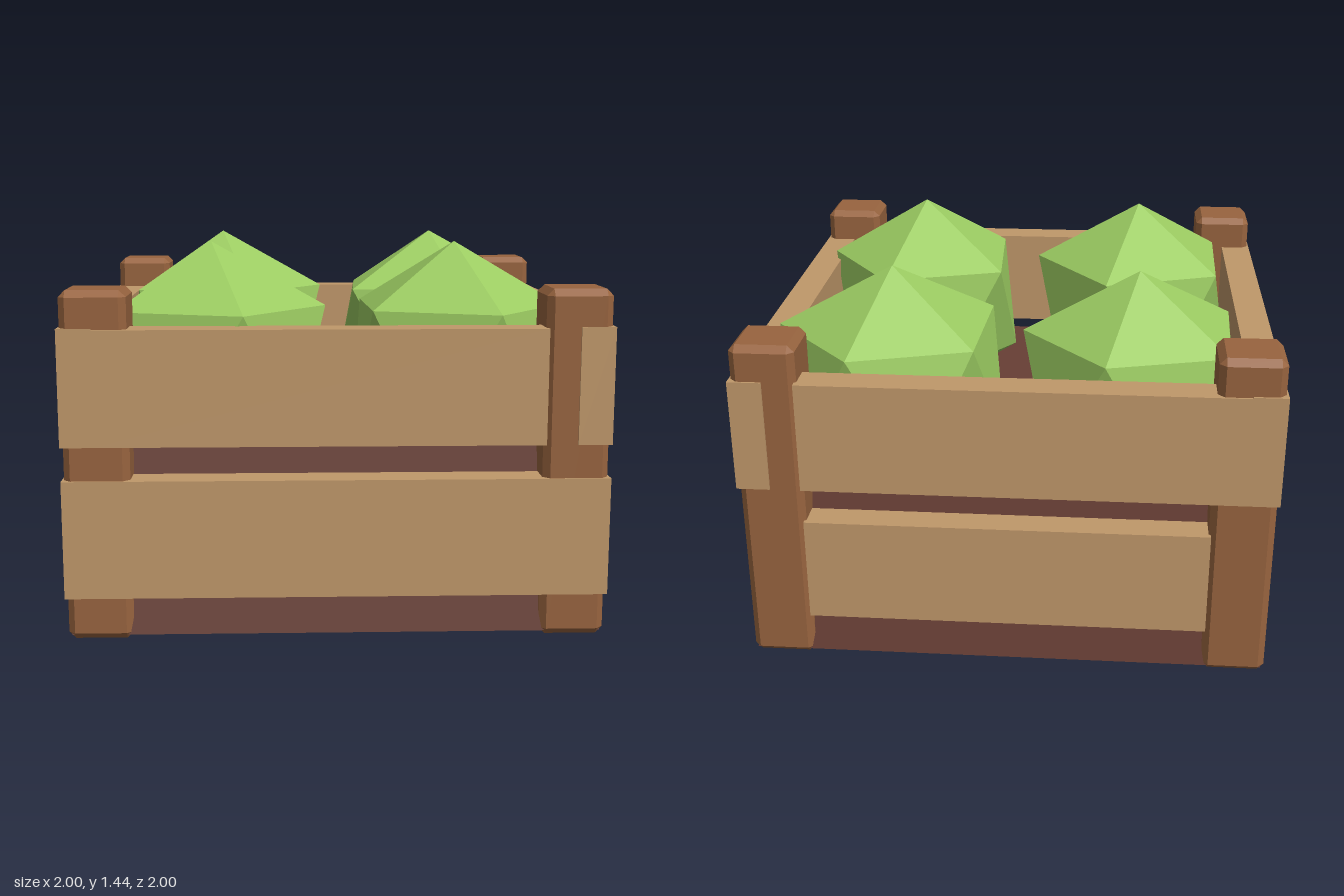
import * as THREE from 'three';
import { ConvexGeometry } from 'three/addons/geometries/ConvexGeometry.js';

const mat = (name, color) => {
  const m = new THREE.MeshStandardMaterial({ color, flatShading: true });
  m.name = name;
  return m;
};

// Box given by its min and max on each axis
function slab(name, material, [x0, x1], [y0, y1], [z0, z1]) {
  const mesh = new THREE.Mesh(new THREE.BoxGeometry(x1 - x0, y1 - y0, z1 - z0), material);
  mesh.position.set((x0 + x1) / 2, (y0 + y1) / 2, (z0 + z1) / 2);
  mesh.name = name;
  return mesh;
}

// Box with every edge chamfered by b
function chamferBox(w, h, d, b) {
  const pts = [];
  for (const sx of [-1, 1]) for (const sy of [-1, 1]) for (const sz of [-1, 1]) {
    const x = w / 2, y = h / 2, z = d / 2;
    pts.push(
      new THREE.Vector3(sx * x, sy * (y - b), sz * (z - b)),
      new THREE.Vector3(sx * (x - b), sy * y, sz * (z - b)),
      new THREE.Vector3(sx * (x - b), sy * (y - b), sz * z));
  }
  return new ConvexGeometry(pts);
}

// Faceted head: two staggered five-sided rings closed by a top and a bottom point
function headGeometry(upperRadii, lowerRadius) {
  const ring = (radius, y, turn) => Array.from({ length: 5 }, (_, i) => {
    const a = (i + turn) * Math.PI * 0.4;
    return [radius(i) * Math.cos(a), y, radius(i) * Math.sin(a)];
  });
  const top = [0, 1.44, 0], bottom = [0, 0.51, 0];
  const up = ring(i => upperRadii[i], 1.19, 0);
  const low = ring(() => lowerRadius, 0.76, 0.5);
  const pos = [];
  for (let i = 0; i < 5; i++) {
    const j = (i + 1) % 5;
    pos.push(...top, ...up[j], ...up[i], ...up[i], ...up[j], ...low[i],
      ...low[i], ...up[j], ...low[j], ...bottom, ...low[i], ...low[j]);
  }
  const g = new THREE.BufferGeometry();
  g.setAttribute('position', new THREE.Float32BufferAttribute(pos, 3));
  g.computeVertexNormals();
  return g;
}

export function createModel() {
  const plankWood = mat('light plank wood', 0xc0986a);
  const postWood = mat('brown post wood', 0x98643f);
  const soil = mat('dark brown base', 0x683f35);
  const leaf = mat('leaf green', 0x9ccc62);
  const model = new THREE.Group();
  model.name = 'vegetableCrate';

  // Solid base, narrowing towards the top
  const baseGeo = new THREE.BoxGeometry(1.96, 0.68, 1.96);
  const p = baseGeo.attributes.position;
  for (let i = 0; i < p.count; i++) {
    if (p.getY(i) > 0) p.setXYZ(i, Math.sign(p.getX(i)) * 0.845, p.getY(i), Math.sign(p.getZ(i)) * 0.845);
  }
  baseGeo.computeVertexNormals();
  const base = new THREE.Mesh(baseGeo, soil);
  base.position.y = 0.36;
  base.name = 'base';
  model.add(base);

  // Corner posts
  const postGeo = chamferBox(0.24, 1.29, 0.24, 0.025);
  for (const sx of [-1, 1]) for (const sz of [-1, 1]) {
    const post = new THREE.Mesh(postGeo, postWood);
    post.position.set(sx * 0.872, 0.65, sz * 0.872);
    post.name = 'cornerPost';
    model.add(post);
  }

  // Upper planks: the side ones run full length, front and back stop at a post
  const upper = [0.73, 1.16];
  for (const s of [-1, 1]) {
    const outer = s < 0 ? [-1, -0.875] : [0.875, 1];
    model.add(slab('upperSidePlank', plankWood, outer, upper, [-1, 1]));
    model.add(slab('upperEndPlank', plankWood, [-0.875, 0.76], [0.73, 1.155], outer));
  }

  // Lower planks: only the front one runs full length
  const lower = [0.18, 0.59];
  model.add(slab('lowerFrontPlank', plankWood, [-1, 1], [0.165, 0.605], [0.875, 1]));
  model.add(slab('lowerBackPlank', plankWood, [-0.76, 0.76], lower, [-0.99, -0.875]));
  model.add(slab('lowerRightPlank', plankWood, [-0.99, -0.875], lower, [-0.76, 0.76]));
  model.add(slab('lowerLeftPlank', plankWood, [0.875, 0.99], lower, [-0.76, 0.76]));

  // Four slightly uneven heads: x, z, upper ring radii, lower ring radius
  const heads = [
    [-1, -1, [0.445, 0.44, 0.45, 0.42, 0.39], 0.41],
    [-1, 1, [0.445, 0.44, 0.435, 0.42, 0.43], 0.41],
    [1, -1, [0.455, 0.4, 0.45, 0.415, 0.4], 0.43],
    [1, 1, [0.425, 0.43, 0.41, 0.44, 0.43], 0.4],
  ];
  for (const [sx, sz, radii, lowR] of heads) {
    const head = new THREE.Mesh(headGeometry(radii, lowR), leaf);
    head.position.set(sx * 0.475, 0, sz * 0.475);
    head.name = 'cabbage';
    model.add(head);
  }
  return model;
}
